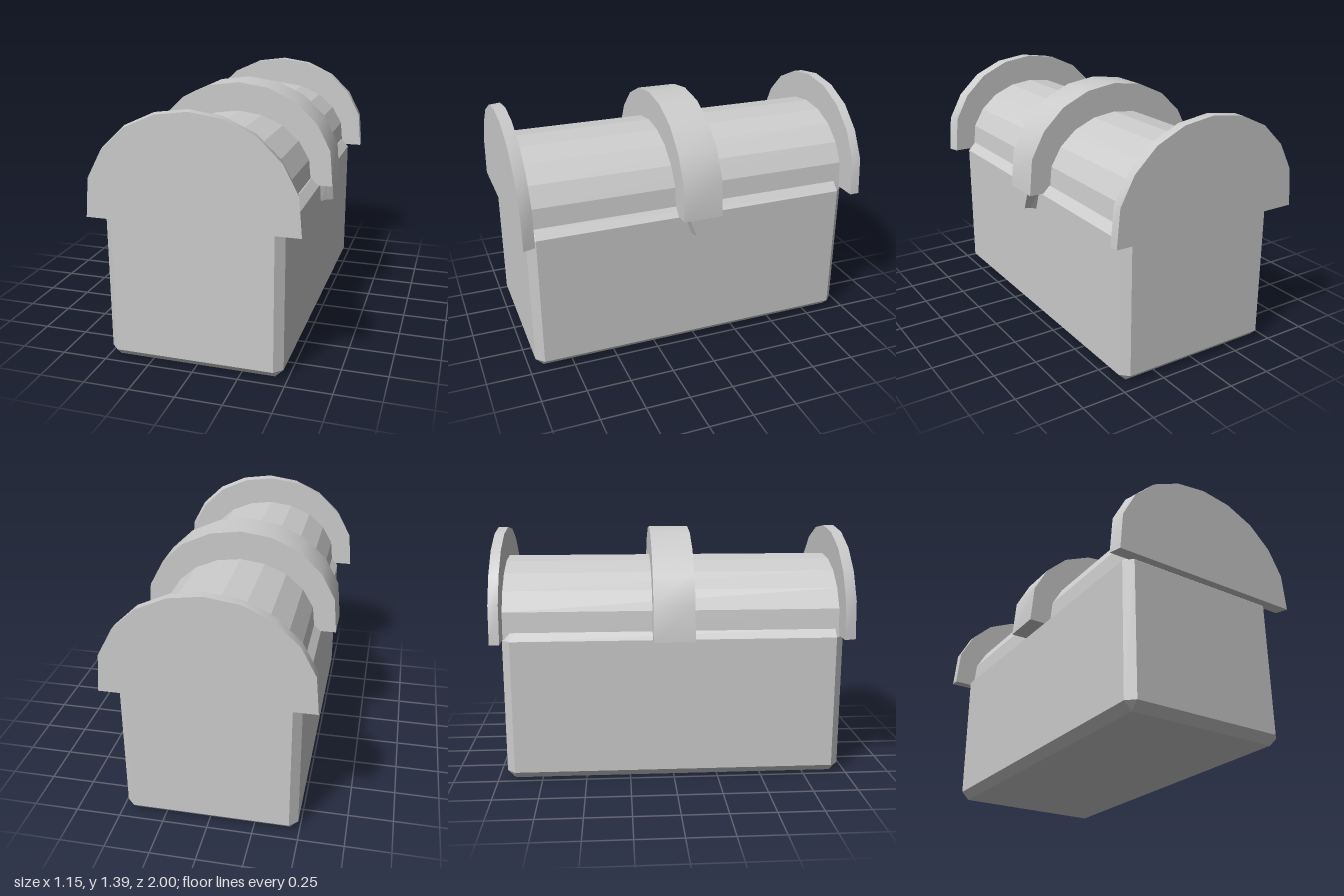
import * as THREE from 'three';
import { toCreasedNormals } from 'three/addons/utils/BufferGeometryUtils.js';
import { ConvexGeometry } from 'three/addons/geometries/ConvexGeometry.js';

const flat = new THREE.MeshStandardMaterial({ color: 0xcccccc, flatShading: true });
const smooth = new THREE.MeshStandardMaterial({ color: 0xcccccc });
const RIM = 0.81; // height where the lid parts start
const CENTRE = -0.012;

function part(name, geometry, material = flat) {
  const mesh = new THREE.Mesh(geometry, material);
  mesh.name = name;
  return mesh;
}

// Box with every edge chamfered by c: each corner gives three points
function chamferedBox(w, h, d, c) {
  const points = [];
  for (const x of [-1, 1]) for (const y of [-1, 1]) for (const z of [-1, 1]) {
    for (let full = 0; full < 3; full++) {
      const half = [w / 2, h / 2, d / 2].map((s, i) => (i === full ? s : s - c));
      points.push(new THREE.Vector3(x * half[0], y * half[1], z * half[2]));
    }
  }
  return new ConvexGeometry(points);
}

// Ten-sided arch running from z0 to z1; lean shifts its front face along x
function arch(rx, ry, z0, z1, lean = 0) {
  const side = [[1, 0], [0.967, 0.362], [0.825, 0.622], [0.603, 0.828], [0.315, 0.957]];
  const outline = [...side, [0, 1], ...side.slice().reverse().map(([x, y]) => [-x, y])];
  const shape = new THREE.Shape(outline.map(([x, y]) => new THREE.Vector2(x * rx + CENTRE, y * ry + RIM)));
  const geo = new THREE.ExtrudeGeometry(shape, { depth: z1 - z0, bevelEnabled: false });
  const p = geo.attributes.position;
  for (let i = 0; i < p.count; i++) p.setX(i, p.getX(i) + (lean * p.getZ(i)) / (z1 - z0));
  geo.translate(0, 0, z0);
  geo.computeVertexNormals();
  return geo;
}

// Tapered clasp whose lower edge rises towards its outer face
function clasp() {
  const x0 = 0.44, x1 = 0.55;
  const shape = new THREE.Shape([[-0.075, 0.83], [-0.075, RIM], [-0.035, 0], [0.035, 0], [0.075, RIM], [0.075, 0.83]]
    .map(([x, y]) => new THREE.Vector2(x, y)));
  const geo = new THREE.ExtrudeGeometry(shape, { depth: x1 - x0, steps: 3, bevelEnabled: false });
  geo.rotateY(Math.PI / 2);
  geo.translate(x0, 0, 0);
  const p = geo.attributes.position;
  for (let i = 0; i < p.count; i++) {
    if (p.getY(i) < 0.1) {
      const t = (p.getX(i) - x0) / (x1 - x0);
      p.setY(i, 0.675 + 0.035 * Math.sin(t * Math.PI / 2));
    }
  }
  geo.computeVertexNormals();
  return geo;
}

export function createModel() {
  const model = new THREE.Group();
  model.name = 'chest';

  // Chest body
  const body = part('body', chamferedBox(0.965, 0.85, 1.91, 0.045));
  body.position.set(-0.0075, 0.425, 0.005);
  model.add(body);

  // Faceted barrel lid
  model.add(part('lid', arch(0.44, 0.415, -0.95, 0.94)));

  // End plates and the middle band
  const bands = [
    ['backPlate', -1, -0.945, 0],
    ['middleBand', -0.118, 0.11, 0],
    ['frontPlate', 0.935, 1, 0.02],
  ];
  for (const [name, z0, z1, lean] of bands) {
    model.add(part(name, toCreasedNormals(arch(0.567, 0.582, z0, z1, lean), 0.6), smooth));
  }

  // Clasp below the band on the left side
  model.add(part('clasp', clasp()));
  return model;
}
